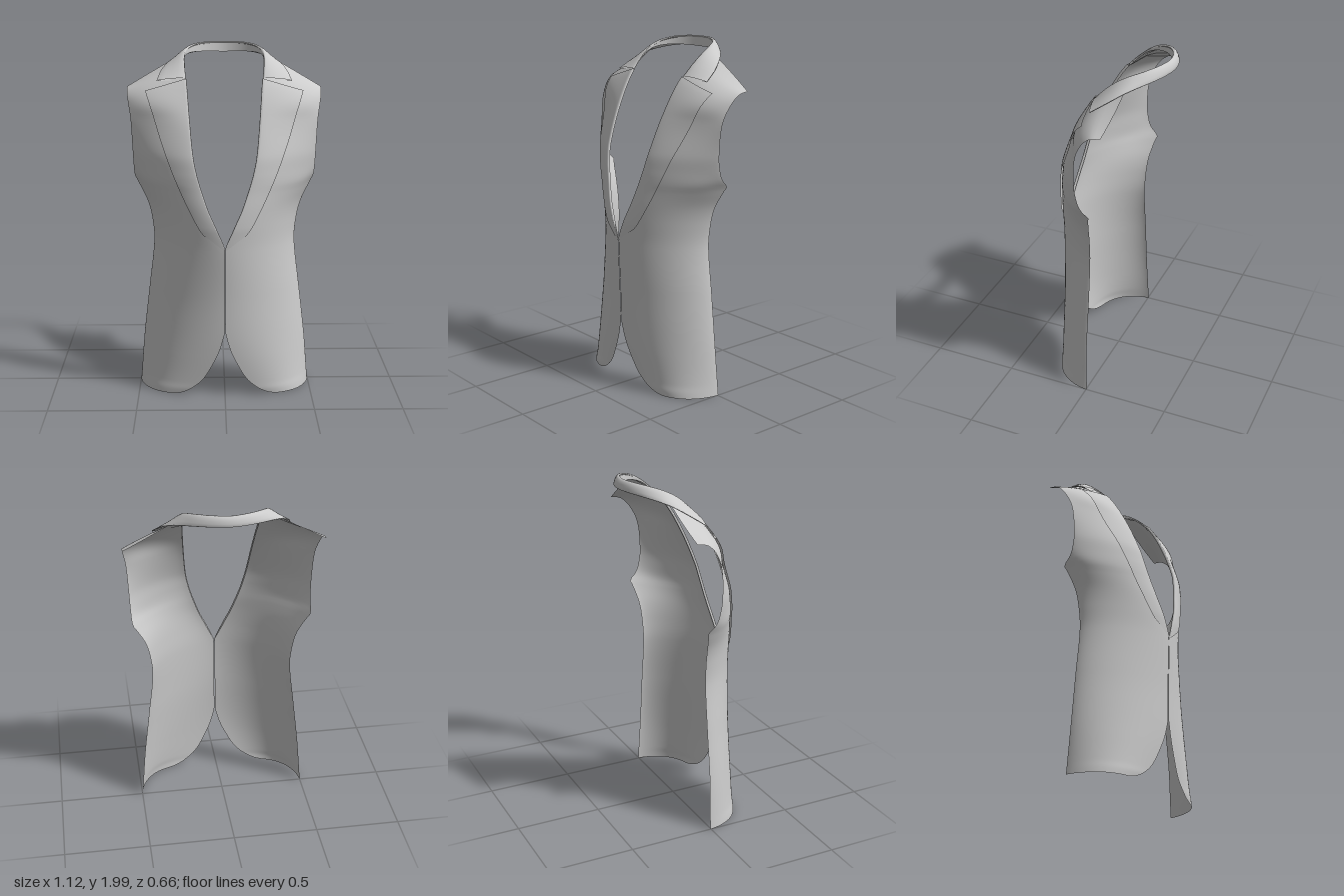
import * as THREE from 'three';

const material = new THREE.MeshStandardMaterial({ color: 0xcccccc, side: THREE.DoubleSide });

// Panel rows: inner y, x, z, then outer y, x, z (rows tilt towards the shoulder seam)
const ROWS = [
  [0.005, 0, 0.272, 0.005, 0.5, -0.005],
  [0.05, 0, 0.283, 0.05, 0.496, -0.004],
  [0.3, 0, 0.305, 0.3, 0.475, 0.002],
  [0.6, 0, 0.312, 0.6, 0.44, 0],
  [0.87, 0, 0.322, 0.87, 0.41, 0],
  [1.0, 0.05, 0.315, 1.0, 0.42, -0.003],
  [1.1, 0.095, 0.3, 1.1, 0.445, -0.003],
  [1.2, 0.13, 0.28, 1.2, 0.495, 0.001],
  [1.24, 0.143, 0.273, 1.24, 0.516, 0.006],
  [1.3, 0.16, 0.262, 1.3, 0.521, 0.018],
  [1.4, 0.18, 0.238, 1.4, 0.525, 0.035],
  [1.6, 0.2, 0.157, 1.58, 0.535, 0.025],
  [1.78, 0.215, 0.055, 1.69, 0.553, -0.022],
  [1.87, 0.224, -0.035, 1.74, 0.56, -0.075],
  [1.945, 0.228, -0.16, 1.752, 0.56, -0.135],
];
// Cross-section bulge by height: power, root exponent, centre peak weight
const BULGE = [
  [0, 4.6, 0.6, 0.04], [0.08, 3.4, 0.6, 0.04], [0.25, 2.4, 0.6, 0.03], [0.45, 2, 0.6, 0.03], [0.87, 1.8, 0.63, 0.03],
  [1.0, 1.75, 0.68, 0.04], [1.2, 1.65, 0.8, 0.03], [1.4, 1.5, 0.9, 0], [1.6, 1.65, 1, 0],
  [1.78, 3.2, 1, 0], [1.95, 2.2, 1, 0],
];
// Underarm point of the armhole, pulled back only near the outer edge
const UNDERARM = [[1.0, 0], [1.1, -0.007], [1.2, -0.031], [1.23, -0.044], [1.26, -0.018], [1.3, -0.002], [1.36, 0]];
// Rounded cutaway at the hem, and the outer edge of the lapel
const CUT = [[0.005, 0.3], [0.012, 0.26], [0.04, 0.2], [0.1, 0.13], [0.2, 0.07], [0.29, 0.03], [0.39, 0.002]];
const LAPEL = [[0.88, 0.004], [0.93, 0.07], [0.97, 0.125], [1.1, 0.2], [1.25, 0.27], [1.4, 0.33], [1.55, 0.38], [1.81, 0.447]];

// Smooth table lookup (cubic Hermite) keyed on the first column
function lookup(table, v, col) {
  const n = table.length - 1;
  let i = 0;
  while (i < n - 1 && v > table[i + 1][0]) i++;
  const slope = (k) => {
    const a = table[Math.max(k - 1, 0)], b = table[Math.min(k + 1, n)];
    return (b[col] - a[col]) / (b[0] - a[0]);
  };
  const a = table[i], b = table[i + 1], h = b[0] - a[0];
  const t = THREE.MathUtils.clamp((v - a[0]) / h, 0, 1), t2 = t * t, t3 = t2 * t;
  return (2 * t3 - 3 * t2 + 1) * a[col] + (t3 - 2 * t2 + t) * h * slope(i)
    + (3 * t2 - 2 * t3) * b[col] + (t3 - t2) * h * slope(i + 1);
}

// Point on the body surface in row v at position x
function bodyPoint(v, x) {
  const [x0, z0, yo, xo, zo] = [1, 2, 3, 4, 5].map((c) => lookup(ROWS, v, c));
  const [p, e, w] = [1, 2, 3].map((c) => lookup(BULGE, v, c));
  const s = THREE.MathUtils.clamp((x - x0) / (xo - x0), 0, 1);
  const f = (1 - w) * Math.pow(1 - Math.pow(s, p), e) + w * (1 - s) ** 2;
  const z = zo + (z0 - zo) * f + lookup(UNDERARM, v, 1) * s ** 12;
  return new THREE.Vector3(x, v + (yo - v) * s, z);
}

const innerX = (v) => (v < 0.39 ? lookup(CUT, v, 1) : Math.max(0.002, lookup(ROWS, v, 1)));

// Surface from a function of two parameters, mirrored when side is -1
function sheet(name, point, nu, nv, side = 1) {
  const pos = [], index = [];
  for (let j = 0; j <= nv; j++) {
    for (let i = 0; i <= nu; i++) {
      const p = point(i / nu, j / nv);
      pos.push(p.x * side, p.y, p.z);
      if (i === nu || j === nv) continue;
      const a = j * (nu + 1) + i, b = a + 1, c = b + nu + 1, d = c - 1;
      if (side > 0) index.push(a, b, c, a, c, d);
      else index.push(a, c, b, a, d, c);
    }
  }
  const geo = new THREE.BufferGeometry();
  geo.setAttribute('position', new THREE.Float32BufferAttribute(pos, 3));
  geo.setIndex(index);
  geo.computeVertexNormals();
  const mesh = new THREE.Mesh(geo, material);
  mesh.name = name;
  return mesh;
}

function panelPoint(u, t) {
  const v = 0.005 + 1.94 * Math.pow(t, 1.3);
  const xi = innerX(v), xo = lookup(ROWS, v, 4);
  return bodyPoint(v, xi + (xo - xi) * (1 - Math.pow(1 - u, 2)));
}

// Lapel lies just proud of the panel, rolled over at the opening edge
function lapelPoint(u, t) {
  const v = 0.885 + 0.925 * t;
  const xi = innerX(v), xl = Math.max(xi + 0.004, lookup(LAPEL, v, 1));
  const s = Math.max(0, (u - 0.15) / 0.85);
  const p = bodyPoint(v, xi + (xl - xi) * s);
  const roll = Math.min(1, u / 0.15);
  const lift = (-0.006 + 0.015 * roll) * Math.min(1, 0.3 + 6 * t);
  p.x += 0.003 * s - 0.004 * Math.sin(roll * Math.PI);
  p.y += lift * 0.4;
  p.z += lift;
  return p;
}

// Collar: fold line and outer edge run from one notch round the neck to the other
function neckCurve(points) {
  const half = points.map((p) => new THREE.Vector3(...p));
  const other = half.slice(0, -1).reverse().map((p) => new THREE.Vector3(-p.x, p.y, p.z));
  return new THREE.CatmullRomCurve3([...half, ...other]);
}
const fold = neckCurve([[0.218, 1.812, 0.03], [0.225, 1.87, -0.025], [0.228, 1.925, -0.09],
  [0.218, 1.962, -0.155], [0.178, 1.986, -0.225], [0.1, 1.997, -0.28], [0, 1.998, -0.303]]);
const outer = neckCurve([[0.385, 1.798, 0.004], [0.358, 1.853, -0.08], [0.315, 1.895, -0.15],
  [0.265, 1.918, -0.205], [0.18, 1.937, -0.275], [0.09, 1.944, -0.316], [0, 1.945, -0.33]]);

// Section stations: position from fold to edge, and height off that line
const SECTION = [[0.04, -0.006], [0, 0], [0.06, 0.006], [0.25, 0.011], [0.5, 0.011], [0.75, 0.008], [1, 0.002],
  [1, -0.004], [0.6, -0.005], [0.2, -0.007]];

function collarPoint(u, t) {
  const f = fold.getPoint(t), o = outer.getPoint(t);
  const d = o.clone().sub(f);
  const n = d.clone().cross(fold.getTangent(t)).normalize();
  const [along, height] = SECTION[Math.round(u * SECTION.length) % SECTION.length];
  return f.addScaledVector(d, along).addScaledVector(n, height);
}

// Collar stand: inner band dropping from the fold line, deepest at the back of the neck
function standPoint(u, t) {
  const p = fold.getPoint(t);
  const depth = Math.sin(Math.PI * t) ** 2 * (1 - u);
  p.y -= 0.06 * depth;
  p.z += 0.008 * depth;
  return p;
}

export function createModel() {
  const model = new THREE.Group();
  model.name = 'sleevelessJacketFront';
  for (const [label, side] of [['left', 1], ['right', -1]]) {
    model.add(sheet(label + 'FrontPanel', panelPoint, 36, 120, side));
    model.add(sheet(label + 'Lapel', lapelPoint, 20, 60, side));
  }
  model.add(sheet('collar', collarPoint, SECTION.length, 72));
  model.add(sheet('collarStand', standPoint, 4, 72));
  return model;
}
